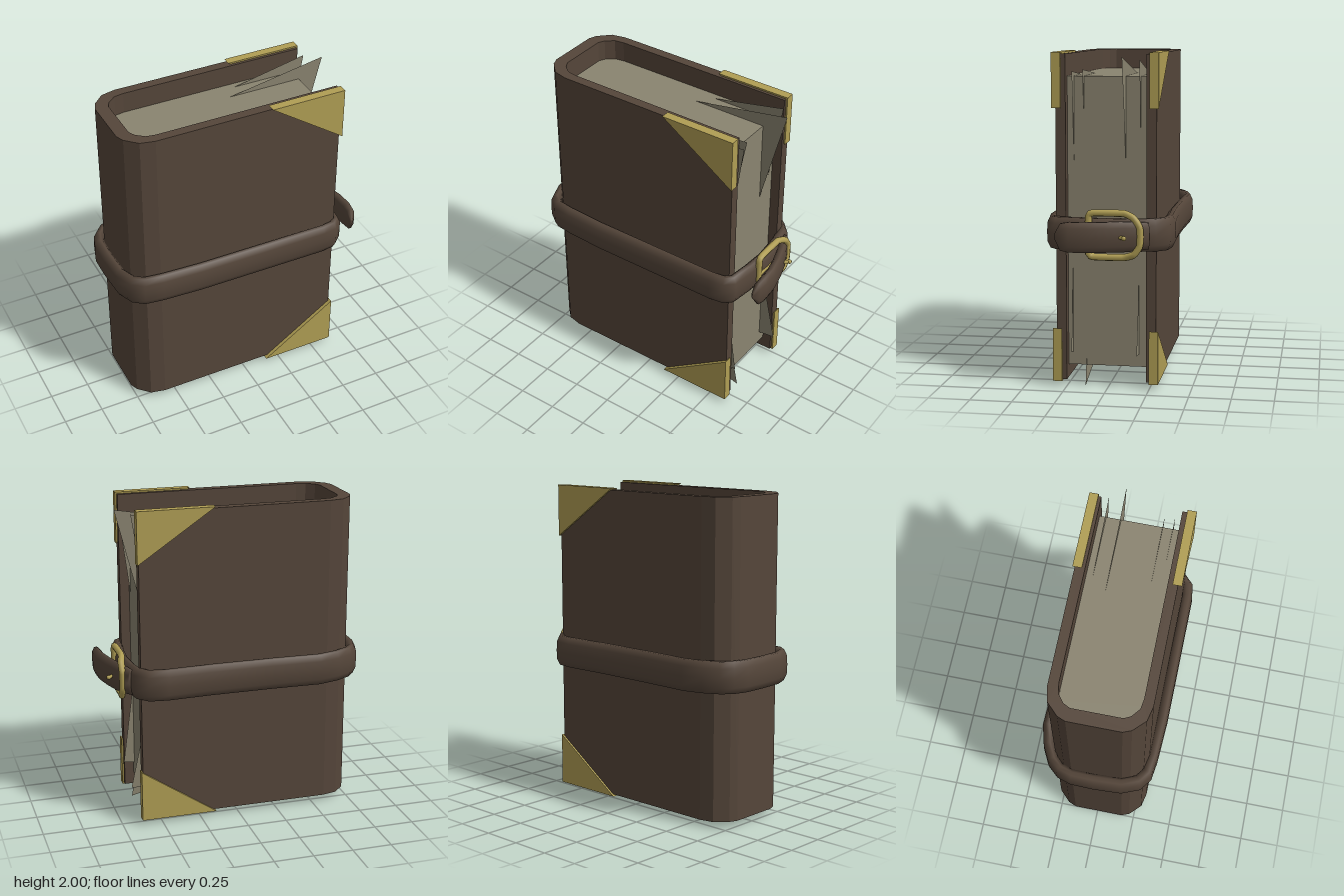
import * as THREE from 'three';

const STRAP_Y = 0.937;

// Extrudes an [x, z] outline upward from y0 to y1
function extrudeUp(outline, y0, y1) {
  const shape = new THREE.Shape(outline.map(([x, z]) => new THREE.Vector2(x, -z)));
  const geo = new THREE.ExtrudeGeometry(shape, { depth: y1 - y0, bevelEnabled: false });
  return geo.rotateX(-Math.PI / 2).translate(0, y0, 0);
}

// Sweeps a soft band section along [x, z, scale] points; outside lies left of travel seen from below
const SECTION = [[1, 0], [0.92, 0.6], [0.4, 0.98], [-0.3, 1], [-1, 0.75],
  [-1, -0.75], [-0.3, -1], [0.4, -0.98], [0.92, -0.6]];
function sweepBand(path, halfThick, halfHeight, closed) {
  const n = path.length, m = SECTION.length, pos = [], idx = [];
  path.forEach(([x, z, s = 1], i) => {
    const a = path[closed ? (i + n - 1) % n : Math.max(i - 1, 0)];
    const b = path[closed ? (i + 1) % n : Math.min(i + 1, n - 1)];
    const len = Math.hypot(b[0] - a[0], b[1] - a[1]);
    const nx = -(b[1] - a[1]) / len, nz = (b[0] - a[0]) / len;
    for (const [o, h] of SECTION) {
      const off = o * halfThick * Math.min(1, s + 0.1);
      pos.push(x + nx * off, STRAP_Y + h * halfHeight * s, z + nz * off);
    }
  });
  for (let i = 0; i < (closed ? n : n - 1); i++) {
    for (let j = 0; j < m; j++) {
      const i2 = (i + 1) % n, j2 = (j + 1) % m;
      const a = i * m + j, b = i2 * m + j, c = i2 * m + j2, d = i * m + j2;
      idx.push(a, b, c, a, c, d);
    }
  }
  if (!closed) { // end caps
    for (let j = 1; j < m - 1; j++) {
      const e = (n - 1) * m;
      idx.push(0, j, j + 1, e, e + j + 1, e + j);
    }
  }
  const geo = new THREE.BufferGeometry();
  geo.setAttribute('position', new THREE.Float32BufferAttribute(pos, 3));
  geo.setIndex(idx);
  geo.computeVertexNormals();
  return geo;
}

export function createModel() {
  const model = new THREE.Group();
  model.name = 'strappedBook';
  const material = (name, color, side = THREE.FrontSide) => {
    const mat = new THREE.MeshStandardMaterial({ color, side });
    mat.name = name;
    return mat;
  };
  const leather = material('brown leather', 0x55463a);
  const paper = material('aged paper', 0x8a8470, THREE.DoubleSide);
  const brass = material('brass', 0xb09e54);
  const add = (name, geo, mat, parent = model) => {
    const mesh = new THREE.Mesh(geo, mat);
    mesh.name = name;
    parent.add(mesh);
    return mesh;
  };

  // Cover: front board, rounded spine and back board in one U
  const inner = [[-0.55, 0.25], [-0.61, 0.24], [-0.66, 0.2], [-0.68, 0.16],
    [-0.68, -0.14], [-0.66, -0.18], [-0.61, -0.22], [-0.55, -0.23]];
  const outer = [[-0.58, -0.29], [-0.67, -0.27], [-0.74, -0.2], [-0.76, -0.15],
    [-0.76, 0.17], [-0.74, 0.22], [-0.67, 0.29], [-0.58, 0.31]];
  add('cover', extrudeUp([[0.62, 0.31], [0.62, 0.25], ...inner,
    [0.62, -0.23], [0.62, -0.29], ...outer], 0.04, 1.99), leather);

  // Page block
  add('pageBlock', extrudeUp([[0.56, 0.25], ...inner, [0.56, -0.23]], 0.12, 1.86), paper);

  // Loose torn pages: z, then three [x, y] corners
  const loosePages = new THREE.Group();
  loosePages.name = 'loosePages';
  model.add(loosePages);
  [
    [-0.10, [0.03, 1.85], [0.55, 1.31], [0.72, 1.975]],
    [-0.19, [0.02, 1.83], [0.55, 1.40], [0.64, 1.96]],
    [0.15, [0.05, 1.85], [0.55, 1.57], [0.61, 1.90]],
    [0.21, [0.02, 1.83], [0.55, 1.28], [0.63, 1.89]],
    [0.22, [0.10, 0.14], [0.63, 0.21], [0.55, 0.80]],
    [-0.18, [0.10, 0.14], [0.67, 0.21], [0.55, 0.75]],
    [0.14, [0.05, 0.14], [0.60, 0.0], [0.55, 0.26]],
  ].forEach(([z, ...corners]) => {
    const geo = new THREE.ShapeGeometry(new THREE.Shape(corners.map(([x, y]) => new THREE.Vector2(x, y))));
    add('loosePage', geo.translate(0, 0, z), paper, loosePages);
  });

  // Brass corner guards on both boards
  for (const z of [0.278, -0.303]) {
    for (const [yEdge, yTip] of [[2.0, 1.675], [0.03, 0.355]]) {
      const shape = new THREE.Shape([[0.15, yEdge], [0.63, yEdge], [0.63, yTip]]
        .map(([x, y]) => new THREE.Vector2(x, y)));
      const geo = new THREE.ExtrudeGeometry(shape, { depth: 0.055, bevelEnabled: false });
      add('cornerGuard', geo.translate(0, 0, z), brass);
    }
  }

  // Strap loop around the book
  add('strap', sweepBand([
    [-0.79, 0.17], [-0.75, 0.27], [-0.69, 0.315], [-0.58, 0.33], [-0.33, 0.343], [0.1, 0.345],
    [0.52, 0.347], [0.6, 0.335], [0.64, 0.3], [0.66, 0.15], [0.67, 0.0], [0.655, -0.18],
    [0.635, -0.28], [0.58, -0.34], [0.47, -0.355], [0.2, -0.343], [-0.2, -0.343],
    [-0.51, -0.352], [-0.63, -0.32], [-0.72, -0.275], [-0.77, -0.22], [-0.795, -0.14], [-0.798, 0.0],
  ], 0.034, 0.098, true), leather);

  // Free strap end, from pointed tip back through the buckle
  add('strapTail', sweepBand([
    [0.772, 0.285, 0.2], [0.787, 0.25, 0.82], [0.79, 0.2, 0.92], [0.785, 0.1, 0.92],
    [0.76, -0.01, 0.92], [0.725, -0.12, 0.92], [0.695, -0.19, 0.88], [0.67, -0.25, 0.8],
  ], 0.028, 0.098, false), leather);

  // Buckle frame, cross bar and prong
  const frame = [[0.1, 1.05], [0.07, 1.07], [-0.11, 1.07], [-0.17, 1.045], [-0.205, 0.99],
    [-0.205, 0.885], [-0.17, 0.83], [-0.11, 0.81], [0.07, 0.81], [0.1, 0.83]]
    .map(([z, y]) => new THREE.Vector3(z < -0.15 ? 0.715 : 0.7, y, z));
  const frameCurve = new THREE.CatmullRomCurve3(frame, true, 'catmullrom', 0.2);
  add('buckleFrame', new THREE.TubeGeometry(frameCurve, 60, 0.021, 8, true), brass);
  const prong = new THREE.CatmullRomCurve3([
    new THREE.Vector3(0.7, STRAP_Y, 0.09), new THREE.Vector3(0.705, STRAP_Y, -0.04),
    new THREE.Vector3(0.75, STRAP_Y, -0.09), new THREE.Vector3(0.785, STRAP_Y, -0.125)]);
  add('buckleProng', new THREE.TubeGeometry(prong, 12, 0.012, 6), brass);
  const tip = add('prongTip', new THREE.SphereGeometry(0.014, 8, 6), brass);
  tip.position.set(0.785, STRAP_Y, -0.122);

  return model;
}
